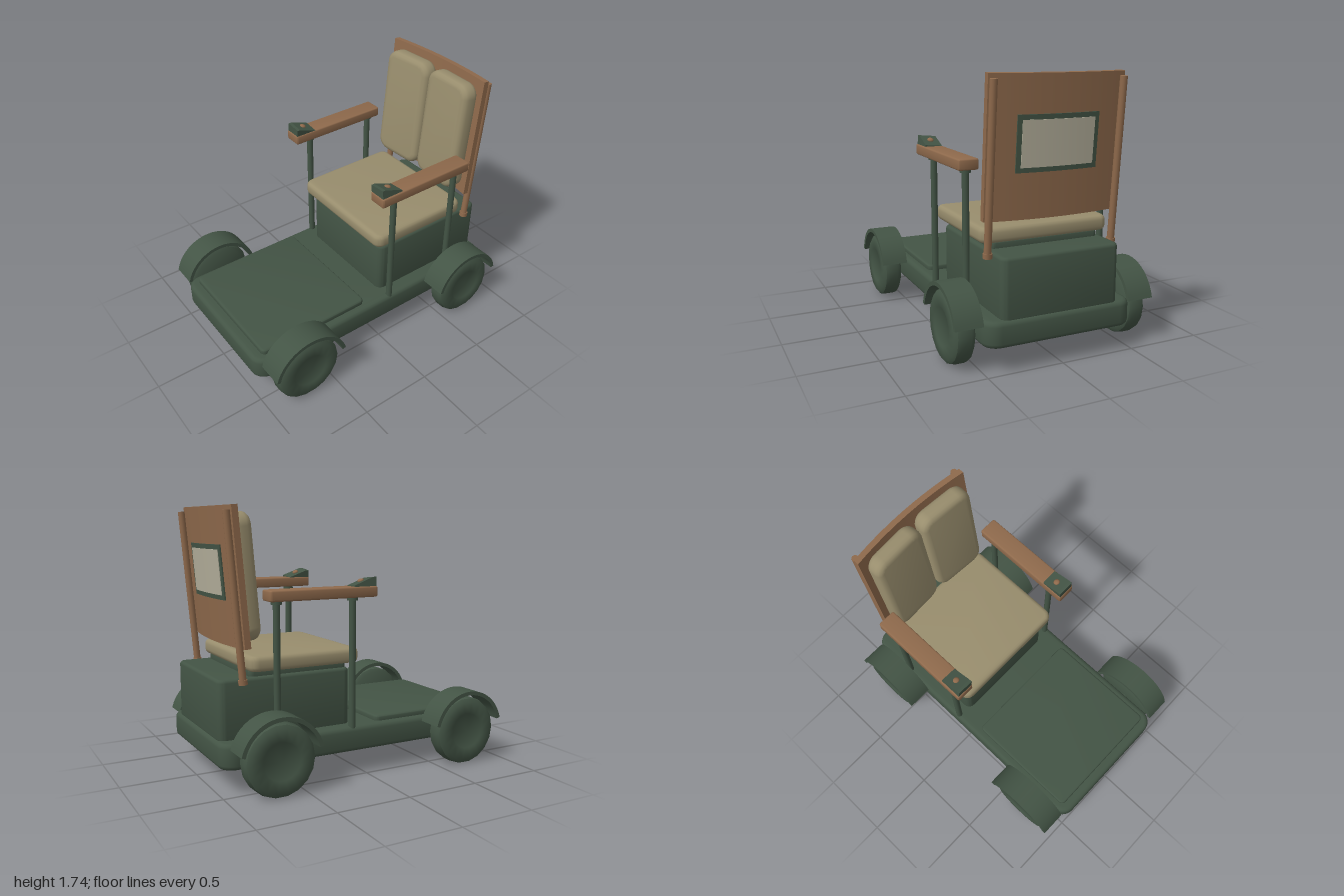
import * as THREE from 'three';
import { toCreasedNormals } from 'three/addons/utils/BufferGeometryUtils.js';

const material = (name, color) => {
  const m = new THREE.MeshStandardMaterial({ color });
  m.name = name;
  return m;
};

// Rounded rectangle outline centred on the origin
function roundedRect(w, h, r) {
  const x = w / 2, y = h / 2, s = new THREE.Shape();
  s.absarc(x - r, y - r, r, 0, Math.PI / 2);
  s.absarc(-x + r, y - r, r, Math.PI / 2, Math.PI);
  s.absarc(-x + r, -y + r, r, Math.PI, Math.PI * 1.5);
  s.absarc(x - r, -y + r, r, Math.PI * 1.5, Math.PI * 2);
  s.closePath();
  return s;
}

// Soft-edged plate: w by h outline, thickness t along +z, bevel b
function plate(w, h, t, r, b) {
  const g = new THREE.ExtrudeGeometry(roundedRect(w - 2 * b, h - 2 * b, r - b), {
    depth: t - 2 * b, bevelEnabled: true, bevelSize: b, bevelThickness: b, bevelSegments: 3, curveSegments: 5,
  });
  g.translate(0, 0, b);
  return toCreasedNormals(g, 0.6);
}

// The same plate lying flat, rising from y = 0
const slab = (w, d, t, r, b) => plate(w, d, t, r, b).rotateX(-Math.PI / 2);

// Upright sheet bowed in plan, ends curving forward
function bowedSheet(halfWidth, height, zBack, zFront) {
  const bow = (x) => 0.036 * (x / 0.45) ** 2;
  const s = new THREE.Shape(), n = 12;
  for (let i = 0; i <= n; i++) {
    const x = halfWidth * (2 * i / n - 1);
    if (i === 0) s.moveTo(x, -(zFront + bow(x)));
    else s.lineTo(x, -(zFront + bow(x)));
  }
  for (let i = n; i >= 0; i--) {
    const x = halfWidth * (2 * i / n - 1);
    s.lineTo(x, -(zBack + bow(x)));
  }
  s.closePath();
  const g = new THREE.ExtrudeGeometry(s, { depth: height, bevelEnabled: false });
  return toCreasedNormals(g.rotateX(-Math.PI / 2), 0.6);
}

export function createModel() {
  const green = material('dark green', 0x435445);
  const brown = material('warm brown', 0x8f6a4c);
  const tan = material('tan upholstery', 0x988d6d);
  const pale = material('pale panel', 0xb5b09c);
  const model = new THREE.Group();
  model.name = 'mobilityChair';

  const add = (name, geometry, mat, x, y, z, parent = model) => {
    const mesh = new THREE.Mesh(geometry, mat);
    mesh.name = name;
    mesh.position.set(x, y, z);
    parent.add(mesh);
    return mesh;
  };
  const rod = (r, h, sides = 12) => new THREE.CylinderGeometry(r, r, h, sides).translate(0, h / 2, 0);

  // Chassis and seat base
  add('platform', slab(1.01, 2, 0.165, 0.1, 0.03), green, 0, 0.172, 0);
  add('footMat', slab(0.9, 0.83, 0.05, 0.035, 0.012), green, 0, 0.322, 0.515);
  add('seatBox', slab(0.8, 0.91, 0.39, 0.05, 0.02), green, 0, 0.32, -0.525);
  add('seatPan', slab(0.74, 0.68, 0.06, 0.03, 0.008), green, 0, 0.69, -0.425);
  add('seatCushion', slab(0.88, 0.77, 0.098, 0.06, 0.03), tan, 0, 0.745, -0.4);

  // Wheel profile, from the inner face to the slightly dished outer face
  const tyre = [[0, 0], [0.2, 0], [0.225, 0.015], [0.232, 0.035], [0.232, 0.095], [0.225, 0.118],
    [0.2, 0.135], [0.13, 0.138], [0.12, 0.132], [0, 0.132]].map((p) => new THREE.Vector2(p[0], p[1]));

  // Mudguard arch
  const arch = new THREE.Shape();
  arch.absarc(0, 0, 0.276, 0.24, Math.PI - 0.24, false);
  arch.absarc(0, 0, 0.25, Math.PI - 0.24, 0.24, true);
  arch.closePath();

  // Control pod wedge, high at the front
  const wedge = new THREE.Shape([[0.08, 0], [0.08, 0.06], [0.058, 0.06], [-0.075, 0.012], [-0.075, 0]]
    .map((p) => new THREE.Vector2(p[0], p[1])));

  for (const s of [1, -1]) {
    const side = s > 0 ? 'left' : 'right';

    for (const [end, z] of [['Front', 0.703], ['Rear', -0.683]]) {
      const wheel = toCreasedNormals(new THREE.LatheGeometry(tyre, 18), 0.6).rotateZ(-s * Math.PI / 2);
      add(side + end + 'Wheel', wheel, green, s * 0.528, 0.24, z);
      add(side + end + 'Axle', rod(0.025, 0.12).rotateZ(-s * Math.PI / 2), green, s * 0.43, 0.24, z);
      const guard = new THREE.ExtrudeGeometry(arch, { depth: 0.18, bevelEnabled: false, curveSegments: 10 });
      guard.translate(0, 0, -0.09).rotateY(Math.PI / 2);
      add(side + end + 'Mudguard', toCreasedNormals(guard, 0.6), green, s * 0.592, 0.243, z);
    }

    // Armrest on two posts
    for (const [end, z] of [['Front', -0.1], ['Rear', -0.63]]) {
      add(side + end + 'ArmPost', rod(0.022, 0.86), green, s * 0.477, 0.325, z);
      add(side + end + 'PostCollar', rod(0.034, 0.026), green, s * 0.477, 1.16, z);
    }
    add(side + 'Armrest', slab(0.13, 0.745, 0.068, 0.015, 0.01), brown, s * 0.482, 1.182, -0.325);

    // Control pod with its button
    const pod = new THREE.Group();
    pod.name = side + 'ControlPod';
    pod.position.set(s * 0.48, 1.243, -0.038);
    pod.rotation.z = s * 0.1;
    model.add(pod);
    const body = new THREE.ExtrudeGeometry(wedge, { depth: 0.115, bevelEnabled: false });
    add('podBody', body.translate(0, 0, -0.0575).rotateY(-Math.PI / 2), green, 0, 0, 0, pod);
    const button = add('podButton', new THREE.SphereGeometry(0.022, 14, 8), brown, 0, 0.04, -0.003, pod);
    button.scale.y = 0.6;
    button.rotation.x = -0.34;
  }

  // Reclined backrest, pivoting at the feet of its posts
  const back = new THREE.Group();
  back.name = 'backrest';
  back.position.set(0, 0.68, -0.832);
  back.rotation.x = -0.084;
  model.add(back);
  add('backPanel', bowedSheet(0.45, 0.86, -0.01, 0.03), brown, 0, 0.213, 0, back);
  add('rearFrame', bowedSheet(0.27, 0.34, -0.018, -0.009), green, 0, 0.5, 0, back);
  add('rearPanel', bowedSheet(0.24, 0.28, -0.022, -0.016), pale, 0, 0.53, 0, back);
  for (const s of [1, -1]) {
    const side = s > 0 ? 'left' : 'right';
    add(side + 'BackPost', rod(0.023, 1.045), brown, s * 0.427, 0, 0, back);
    add(side + 'BackPostFoot', rod(0.029, 0.03), brown, s * 0.427, 0, 0, back);
    const pad = add(side + 'BackCushion', plate(0.4, 0.79, 0.125, 0.09, 0.04), tan, s * 0.21, 0.635, 0.035, back);
    pad.rotation.y = -s * 0.06;
  }
  return model;
}
